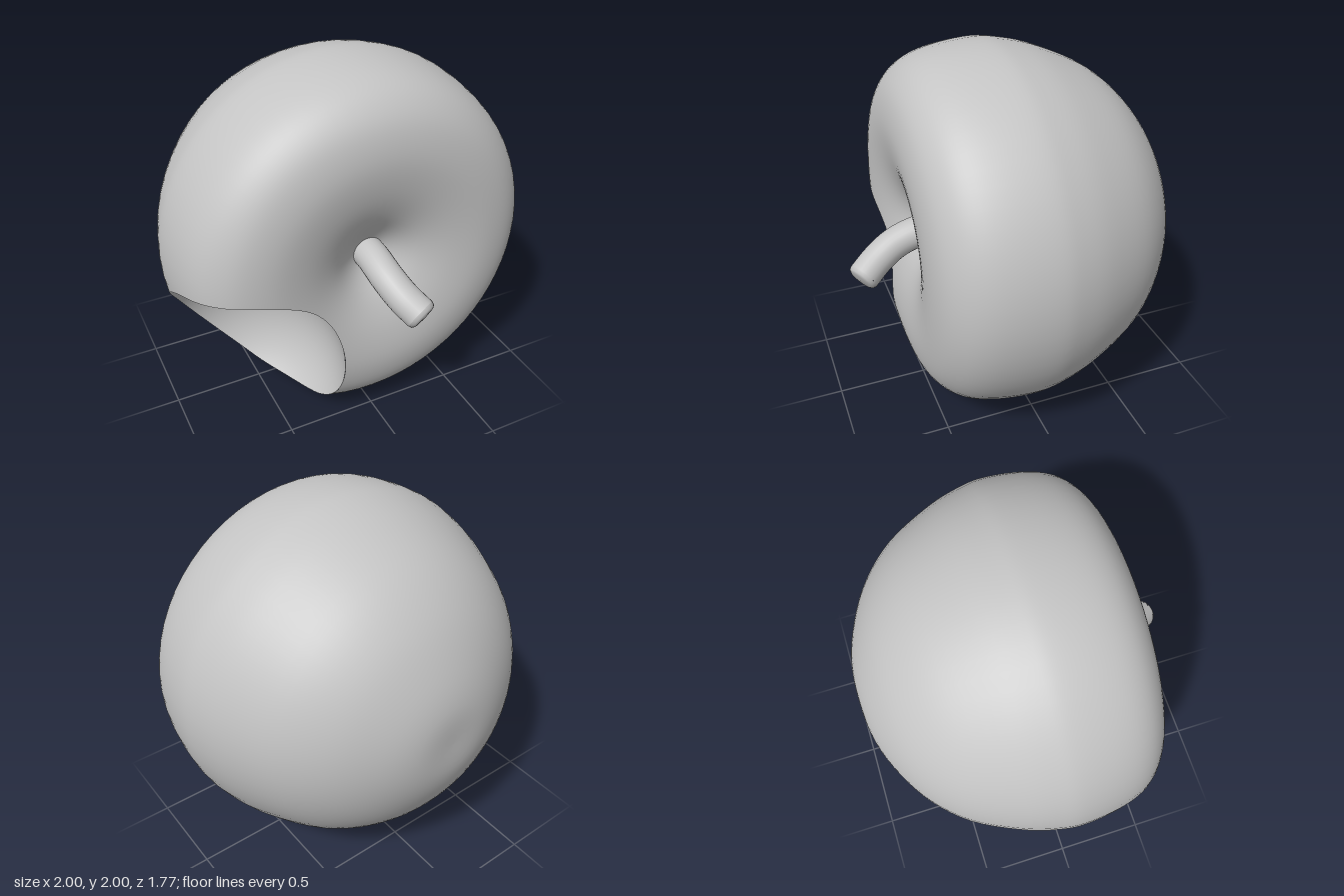
import * as THREE from 'three';

const biteCentre = new THREE.Vector3(-0.76, -0.565, 0.42);
const biteRadius = 0.57;

// Half outline of the fruit as (radius, height along the stem axis), base to dimple
const outline = new THREE.SplineCurve([
  [0, -0.89], [0.2, -0.885], [0.4, -0.82], [0.62, -0.69], [0.8, -0.5], [0.93, -0.24],
  [0.985, -0.05], [0.998, 0.08], [0.98, 0.26], [0.94, 0.4], [0.87, 0.5], [0.76, 0.57],
  [0.6, 0.6], [0.42, 0.58], [0.26, 0.525], [0.12, 0.44], [0, 0.37],
].map(([r, h]) => new THREE.Vector2(r, h))).getPoints(72);
outline[0].x = outline[outline.length - 1].x = 0;

// Outline as polar (angle, distance) samples, for testing whether a point is inside
const polar = outline.map((p) => [Math.atan2(p.y, p.x), p.length()]);
function outsideFruit(p) {
  const angle = Math.atan2(p.z, Math.hypot(p.x, p.y));
  let i = 1;
  while (i < polar.length - 1 && polar[i][0] < angle) i++;
  const [a0, d0] = polar[i - 1], [a1, d1] = polar[i];
  const t = THREE.MathUtils.clamp((angle - a0) / (a1 - a0), 0, 1);
  return p.length() - (d0 + (d1 - d0) * t);
}
const insideBite = (p) => biteRadius - p.distanceTo(biteCentre);

// Keeps the part of a geometry where test(p) < 0, cutting triangles along the border
function clip(geometry, test, flip = false) {
  const pos = geometry.attributes.position, nor = geometry.attributes.normal;
  const index = geometry.index.array;
  const positions = [], normals = [];
  const vertex = (i) => {
    const p = new THREE.Vector3().fromBufferAttribute(pos, i);
    return { p, n: new THREE.Vector3().fromBufferAttribute(nor, i), s: test(p) };
  };
  const crossing = (a, b) => {
    let lo = 0, hi = 1;
    for (let k = 0; k < 20; k++) {
      const mid = (lo + hi) / 2;
      if ((test(a.p.clone().lerp(b.p, mid)) < 0) === (a.s < 0)) lo = mid;
      else hi = mid;
    }
    return { p: a.p.clone().lerp(b.p, lo), n: a.n.clone().lerp(b.n, lo).normalize() };
  };
  for (let i = 0; i < index.length; i += 3) {
    const tri = [vertex(index[i]), vertex(index[i + 1]), vertex(index[i + 2])];
    const poly = [];
    tri.forEach((a, k) => {
      const b = tri[(k + 1) % 3];
      if (a.s < 0) poly.push(a);
      if ((a.s < 0) !== (b.s < 0)) poly.push(crossing(a, b));
    });
    if (flip) poly.reverse();
    for (let k = 1; k < poly.length - 1; k++) {
      for (const v of [poly[0], poly[k], poly[k + 1]]) {
        positions.push(...v.p.toArray());
        normals.push(...v.n.clone().multiplyScalar(flip ? -1 : 1).toArray());
      }
    }
  }
  const result = new THREE.BufferGeometry();
  result.setAttribute('position', new THREE.Float32BufferAttribute(positions, 3));
  result.setAttribute('normal', new THREE.Float32BufferAttribute(normals, 3));
  return result;
}

export function createModel() {
  const model = new THREE.Group();
  model.name = 'bittenApple';
  const grey = new THREE.MeshStandardMaterial({ color: 0xc4c4c4 });
  grey.name = 'grey';

  const add = (name, geometry) => {
    const mesh = new THREE.Mesh(geometry, grey);
    mesh.name = name;
    mesh.position.y = 1;
    model.add(mesh);
    return mesh;
  };

  // Fruit lying with its stem to the front, cut by the bite
  const fruit = new THREE.LatheGeometry(outline, 64).rotateX(Math.PI / 2);
  add('fruit', clip(fruit, insideBite));

  // Hollow left by the bite
  const ball = new THREE.SphereGeometry(biteRadius, 64, 48)
    .translate(biteCentre.x, biteCentre.y, biteCentre.z);
  add('bite', clip(ball, outsideFruit, true));

  // Bent stem with a flat, slightly bevelled end
  const path = new THREE.CatmullRomCurve3([
    [0, 0, 0.34], [0, -0.005, 0.48], [0.008, -0.045, 0.61], [0.04, -0.105, 0.72], [0.088, -0.162, 0.81],
  ].map((p) => new THREE.Vector3(...p)));
  const stemRadius = 0.087;
  add('stem', new THREE.TubeGeometry(path, 24, stemRadius, 24));

  const cap = new THREE.LatheGeometry([
    [stemRadius, 0], [0.08, 0.018], [0.062, 0.028], [0, 0.032],
  ].map(([r, h]) => new THREE.Vector2(r, h)), 24);
  const stemEnd = add('stemEnd', cap);
  stemEnd.position.add(path.getPoint(1));
  stemEnd.quaternion.setFromUnitVectors(new THREE.Vector3(0, 1, 0), path.getTangent(1));

  return model;
}
